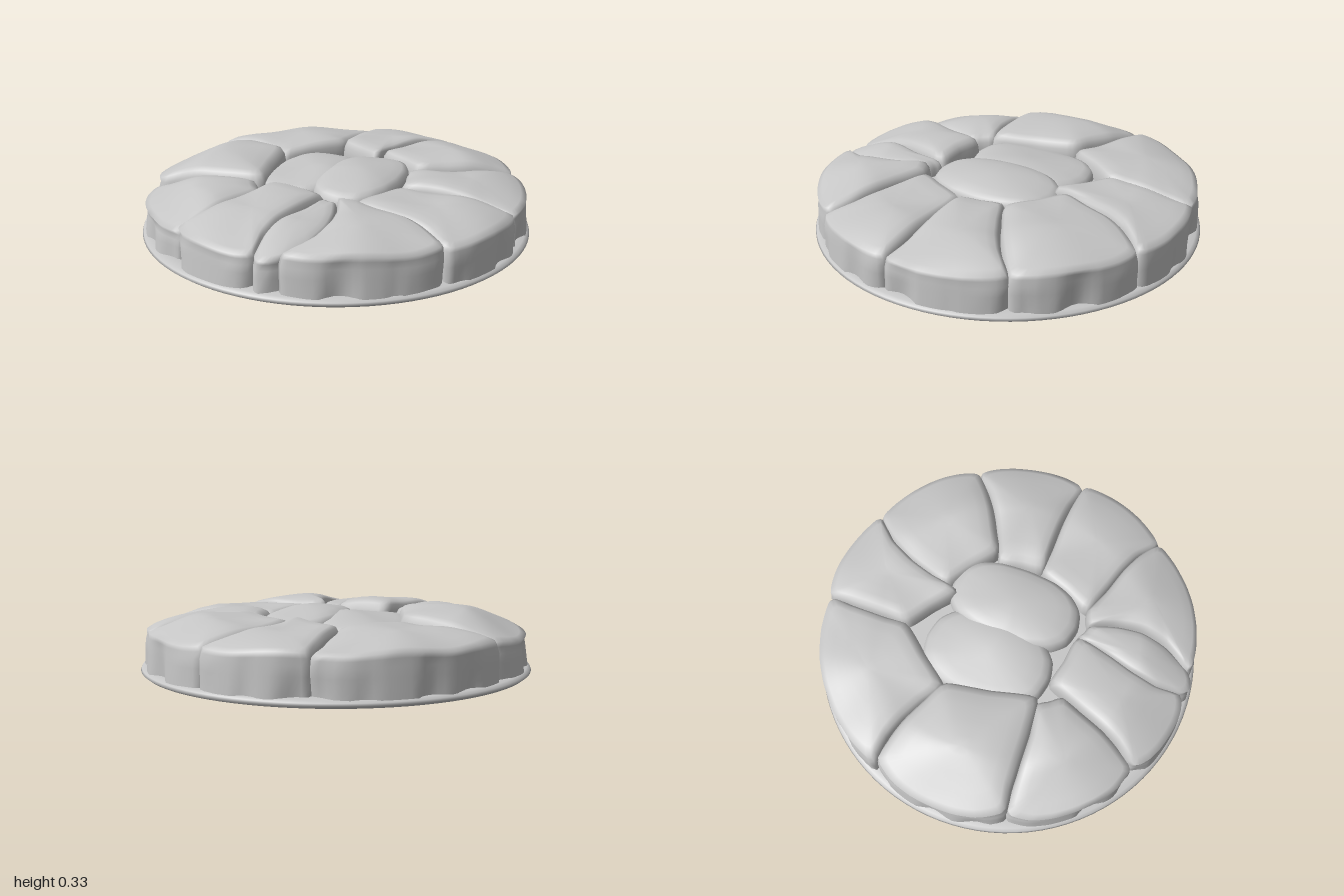
import * as THREE from 'three';

const stoneGrey = new THREE.MeshStandardMaterial({ color: 0xc6c6c6 });
stoneGrey.name = 'stoneGrey';

const { degToRad, lerp, smoothstep } = THREE.MathUtils;

// Ring stones: the joint that starts each one (inner angle, outer angle, bow, in degrees),
// then the radius of its two inner corners, its height and how much it falls toward the rim
const RING_STONES = [
  ['frontRightStone', 29, 8, -7, 0.42, 0.41, 0.3, 0.16],
  ['frontWedgeStone', 37, 54, -5, 0.42, 0.36, 0.275, 0.22],
  ['frontStone', 48, 60, 6, 0.36, 0.36, 0.3, 0.22],
  ['frontLeftStone', 94, 89, -3, 0.45, 0.42, 0.285, 0.25],
  ['leftFrontStone', 108, 131, 5, 0.39, 0.43, 0.32, 0.25],
  ['leftStone', 177, 174, 2, 0.44, 0.52, 0.295, 0.13],
  ['backLeftStone', 219, 232, 2, 0.52, 0.33, 0.3, 0.12],
  ['backStone', 258, 264, -3, 0.41, 0.43, 0.305, 0.14],
  ['backRightStone', 303, 300, 2, 0.38, 0.38, 0.285, 0.16],
  ['rightStone', 339, 336, -2, 0.37, 0.42, 0.28, 0.12],
];

// Centre stones: x, z, half length, half width, height
const CENTRE_STONES = [
  ['centreLeftStone', -0.17, 0.04, 0.34, 0.23, 0.28],
  ['centreStone', 0.115, -0.085, 0.35, 0.21, 0.305],
];

// Rings of a stone from foot to crown: [scale of the plan, share of the height]
const RINGS = [[1, 0.1], [1, 0.3], [1.01, 0.52], [1.01, 0.7], [0.99, 0.83], [0.94, 0.92], [0.84, 0.965], [0.64, 0.99], [0.38, 1], [0.14, 1]];
const SEGMENTS = 72;

const polar = (r, angle) => new THREE.Vector3(r * Math.cos(angle), 0, r * Math.sin(angle));

// Angle of a curved joint at a given radius
function jointAngle([, inner, outer, bow], r) {
  const s = (r - 0.38) / 0.6;
  return degToRad(lerp(inner, outer, s) + bow * Math.sin(Math.PI * s));
}

// Plan of a ring stone between its own joint and the next one, with a straight inner edge
function ringPlan(i) {
  const start = RING_STONES[i], end = RING_STONES[(i + 1) % RING_STONES.length];
  const wrap = i === RING_STONES.length - 1 ? Math.PI * 2 : 0;
  const [, , , , startRadius, endRadius, , fall] = start;
  const at = (r, t) => polar(r, lerp(jointAngle(start, r), jointAngle(end, r) + wrap, t));
  const points = [];
  for (const s of [0, 0.25, 0.5, 0.75]) points.push(at(lerp(startRadius, 0.96, s), 0));
  for (let k = 0; k <= 6; k++) points.push(at(0.99 - 0.18 * fall * Math.abs(k / 3 - 1) ** 4, k / 6));
  for (const s of [0.75, 0.5, 0.25, 0]) points.push(at(lerp(endRadius, 0.96, s), 1));
  points.push(at(endRadius, 1).lerp(points[0], 0.5));
  return points;
}

// Plan of a centre stone: a squarish oval turned to one side
function centrePlan([, x, z, length, width]) {
  const turn = degToRad(62), points = [];
  const soften = (v) => Math.sign(v) * Math.abs(v) ** 0.85;
  for (let k = 0; k < 16; k++) {
    const a = (k / 16) * Math.PI * 2;
    const u = soften(Math.cos(a)) * length, v = soften(Math.sin(a)) * width;
    points.push(new THREE.Vector3(x + u * Math.cos(turn) - v * Math.sin(turn), 0, z + u * Math.sin(turn) + v * Math.cos(turn)));
  }
  return points;
}

function stoneGeometry(plan, height, fall, seed) {
  const curve = new THREE.CatmullRomCurve3(plan, true, 'catmullrom', 0.3);
  const outline = curve.getSpacedPoints(SEGMENTS).slice(0, SEGMENTS);
  const centre = outline.reduce((c, p) => c.add(p), new THREE.Vector3()).divideScalar(SEGMENTS);
  const centreRadius = centre.length();

  const positions = [], index = [];
  const addPoint = (p, scale, level) => {
    const q = new THREE.Vector3().lerpVectors(centre, p, scale);
    const r = q.length(), a = Math.atan2(q.z, q.x);
    // Outer walls are weathered: irregular dents above the foot, leaning in toward the shoulder
    if (r > 0.75 && level < 0.9) {
      const dent = Math.max(0, Math.sin(a * 17 + seed) * Math.sin(a * 7 + seed * 2)) * 0.04 * (1 - level);
      const lean = 0.12 * fall * level;
      q.setLength(Math.min(r, 0.988) - (dent + lean) * smoothstep(r, 0.75, 0.92));
    }
    // Worn top that falls toward the rim of the plate
    const rim = 1 - fall * smoothstep(r, 0.68, 1);
    const wear = 0.008 * Math.sin(q.x * 11 + seed * 2) + 0.007 * Math.sin(q.z * 13 - q.x * 6 + seed);
    const slope = 0.05 * (centreRadius - r);
    positions.push(q.x, height * level * rim + (wear + slope) * level * level, q.z);
  };
  for (const [scale, level] of RINGS) for (const p of outline) addPoint(p, scale, level);
  addPoint(centre, 0, 1);

  const crown = RINGS.length * SEGMENTS;
  for (let k = 0; k < RINGS.length; k++) {
    for (let i = 0; i < SEGMENTS; i++) {
      const a = k * SEGMENTS + i, b = k * SEGMENTS + (i + 1) % SEGMENTS;
      if (k === RINGS.length - 1) index.push(a, crown, b);
      else index.push(a, a + SEGMENTS, b, b, a + SEGMENTS, b + SEGMENTS);
    }
  }
  const geometry = new THREE.BufferGeometry();
  geometry.setAttribute('position', new THREE.Float32BufferAttribute(positions, 3));
  geometry.setIndex(index);
  geometry.computeVertexNormals();
  return geometry;
}

function lathe(profile) {
  return new THREE.LatheGeometry(profile.map(([r, y]) => new THREE.Vector2(r, y)), 96);
}

export function createModel() {
  const group = new THREE.Group();
  group.name = 'stonePaving';
  const add = (name, geometry) => {
    const mesh = new THREE.Mesh(geometry, stoneGrey);
    mesh.name = name;
    group.add(mesh);
  };

  // Thin round plate with a rounded lip
  add('basePlate', lathe([[0, 0.005], [0.95, 0.005], [0.955, 0.005], [0.985, 0.01], [1, 0.022], [0.995, 0.034], [0.98, 0.044], [0.94, 0.05], [0, 0.05]]));
  // Low bed that closes the joints between stones
  add('jointBed', lathe([[0.92, 0.03], [0.9, 0.13], [0.82, 0.18], [0.6, 0.2], [0, 0.2]]));

  RING_STONES.forEach((stone, i) => add(stone[0], stoneGeometry(ringPlan(i), stone[6], stone[7], i * 1.7)));
  CENTRE_STONES.forEach((stone, i) => add(stone[0], stoneGeometry(centrePlan(stone), stone[5], 0, 20 + i * 2)));
  return group;
}
